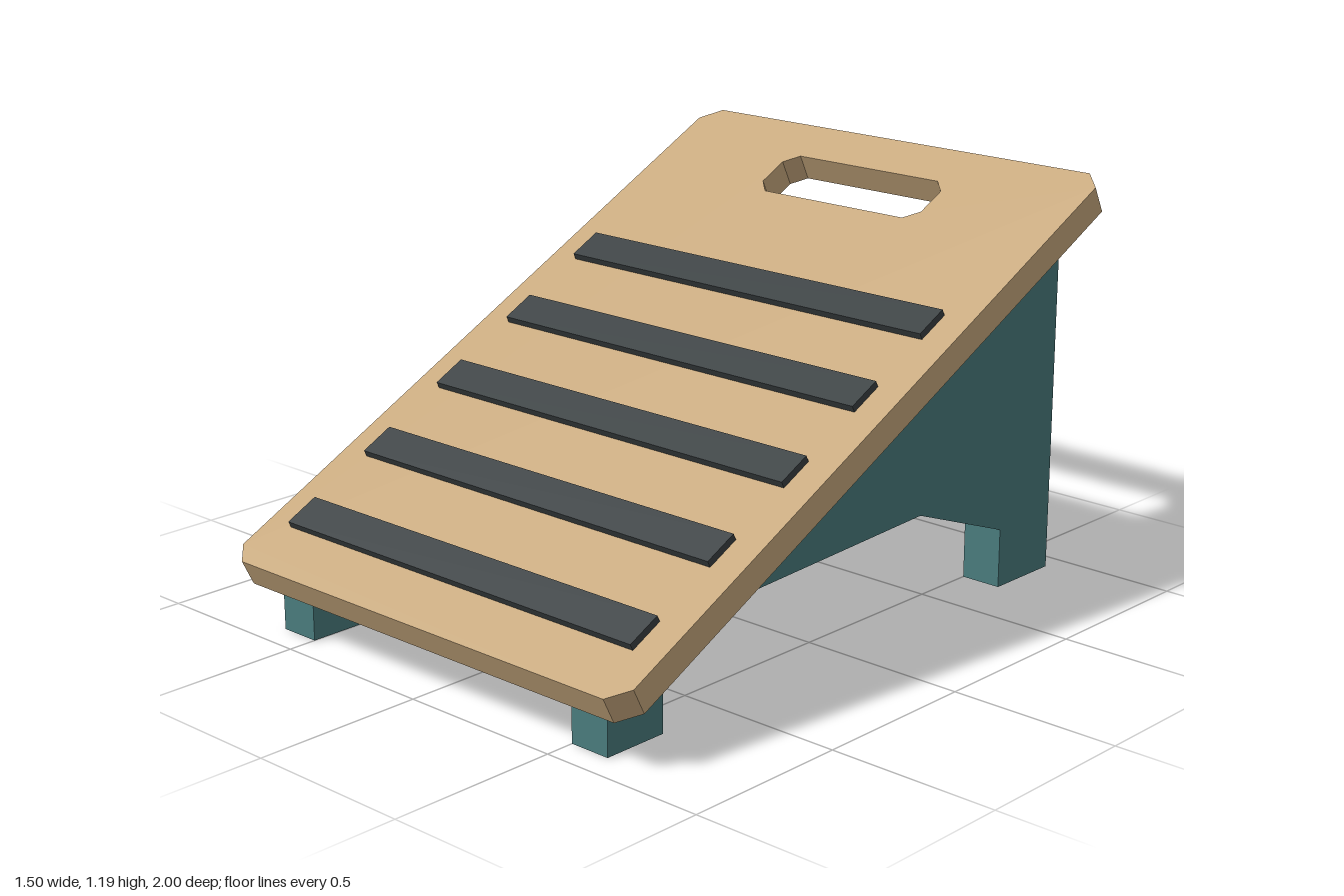
import * as THREE from 'three';

const SLOPE = Math.atan(0.5);
const mat = (color) => new THREE.MeshStandardMaterial({ color });

// Corner points of a rectangle with chamfered corners
function chamferedRect(cx, cy, w, h, c) {
  const x = w / 2, y = h / 2;
  return [
    [-x + c, -y], [x - c, -y], [x, -y + c], [x, y - c],
    [x - c, y], [-x + c, y], [-x, y - c], [-x, -y + c],
  ].map(([px, py]) => new THREE.Vector2(cx + px, cy + py));
}

// Extrusion centred on its own depth
function slab(shape, depth) {
  return new THREE.ExtrudeGeometry(shape, { depth, bevelEnabled: false }).translate(0, 0, -depth / 2);
}

function addMesh(parent, name, geometry, material, x = 0, y = 0, z = 0) {
  const mesh = new THREE.Mesh(geometry, material);
  mesh.name = name;
  mesh.position.set(x, y, z);
  parent.add(mesh);
  return mesh;
}

export function createModel() {
  const model = new THREE.Group();
  model.name = 'slantBoard';
  const wood = mat(0xc8a97e), teal = mat(0x4a7c7e), rubber = mat(0x3a4042), brown = mat(0x8f5d48);

  // Tilted deck: local y runs up the slope, local z points out of the top face
  const deck = new THREE.Group();
  deck.name = 'deck';
  deck.position.y = 0.658;
  deck.rotation.x = SLOPE - Math.PI / 2;
  model.add(deck);

  // Board with chamfered corners and a handle slot
  const thickness = 0.083;
  const boardShape = new THREE.Shape(chamferedRect(0, 0, 1.5, 2.195, 0.055));
  boardShape.holes.push(new THREE.Path(chamferedRect(0, 0.86, 0.6, 0.18, 0.04).reverse()));
  addMesh(deck, 'board', slab(boardShape, thickness), wood);

  // Grip strips
  const stripGeometry = new THREE.BoxGeometry(1.312, 0.108, 0.02);
  for (let i = -2; i <= 2; i++) {
    addMesh(deck, 'gripStrip', stripGeometry, rubber, 0, -0.256 + i * 0.313, thickness / 2 + 0.01);
  }

  // Side panels: profile in (z, y) with an arch between the two feet
  const profile = [
    [0.915, 0], [0.915, 0.155], [-0.93, 1.078], [-0.93, 0], [-0.695, 0],
    [-0.695, 0.175], [-0.32, 0.315], [0.465, 0.285], [0.715, 0.11], [0.715, 0],
  ].map(([z, y]) => new THREE.Vector2(z, y));
  const panelGeometry = slab(new THREE.Shape(profile), 0.125).rotateY(-Math.PI / 2);
  for (const side of [1, -1]) {
    addMesh(model, side > 0 ? 'leftSidePanel' : 'rightSidePanel', panelGeometry, teal, side * 0.5625);
  }

  // Rear crossbar between the panels
  addMesh(model, 'crossbar', new THREE.BoxGeometry(1, 0.14, 0.115), brown, 0, 0.305, -0.827);

  return model;
}
